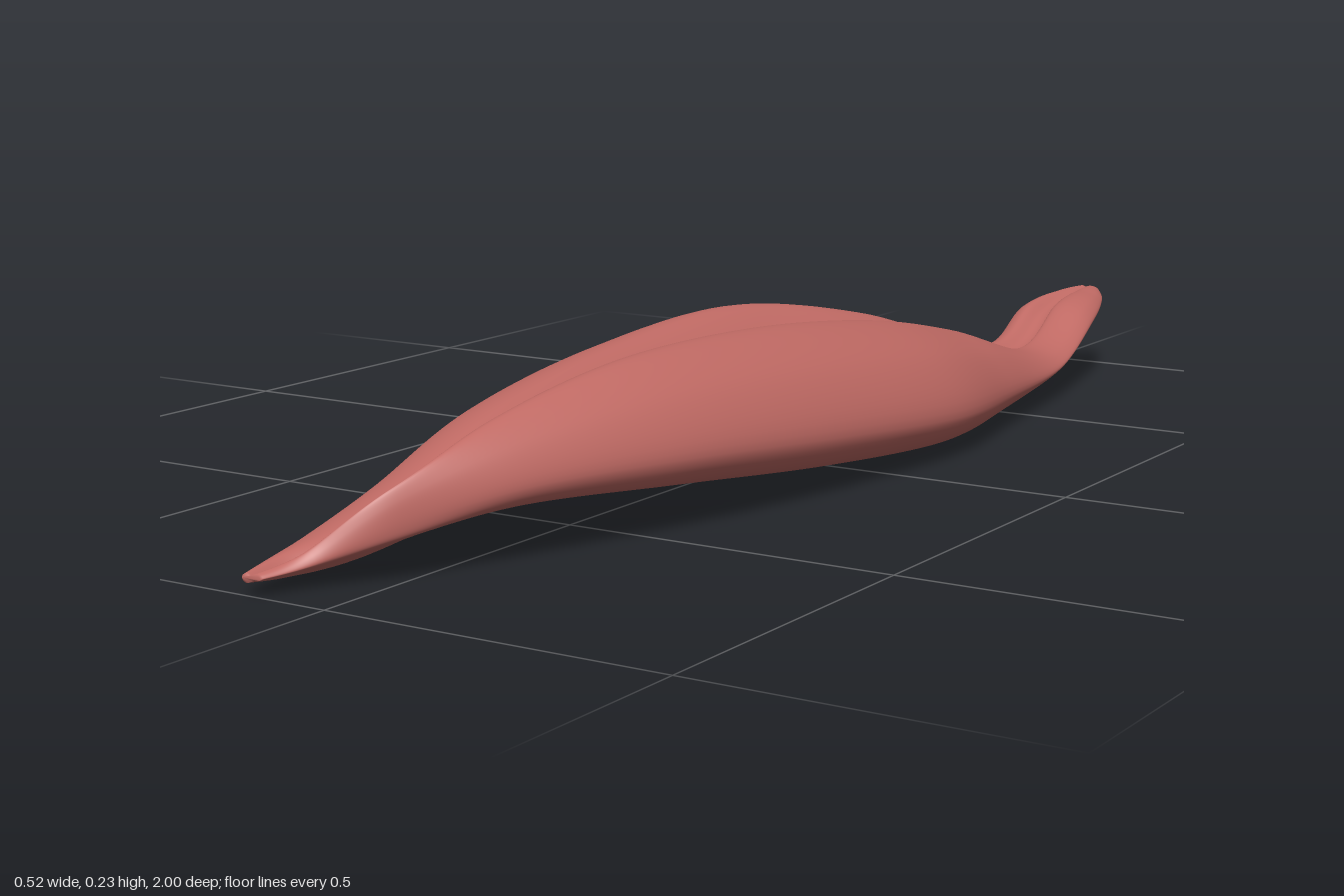
import * as THREE from 'three';

// Guide curves, each sampled at the same stations from front tip to back tail
const GUIDES = {
  z: [1, 0.94, 0.86, 0.7, 0.45, 0.15, -0.15, -0.4, -0.66, -0.85, -0.95, -1],
  left: [-0.13, -0.146, -0.157, -0.178, -0.23, -0.26, -0.24, -0.13, 0.008, 0.003, 0.025, 0.05],
  right: [-0.1, -0.065, 0.005, 0.09, 0.175, 0.232, 0.257, 0.22, 0.18, 0.148, 0.118, 0.088],
  crease: [0.6, 0.76, 0.88, 0.66, 0.59, 0.58, 0.575, 0.56, 0.5, 0.5, 0.5, 0.5], // fraction of the width
  base: [0.018, 0.011, 0.015, 0.036, 0.063, 0.054, 0.014, 0.003, 0.03, 0.075, 0.108, 0.128],
  ridge: [0.03, 0.038, 0.055, 0.09, 0.145, 0.183, 0.202, 0.162, 0.08, 0.125, 0.137, 0.14],
  channel: [0.028, 0.026, 0.036, 0.063, 0.103, 0.125, 0.14, 0.13, 0.068, 0.112, 0.132, 0.138],
  crown: [0.03, 0.05, 0.122, 0.183, 0.226, 0.228, 0.198, 0.148, 0.08, 0.131, 0.14, 0.14],
  edge: [0.025, 0.036, 0.075, 0.105, 0.105, 0.086, 0.065, 0.055, 0.055, 0.104, 0.124, 0.134],
};
const RINGS = 120, AROUND = 96;
const mix = THREE.MathUtils.lerp;

// Cross-section: rounded left side and ridge, open channel, sharp-edged right lobe, hollow underside
function sectionCurve(g) {
  const lobe = t => mix(g.crease, 1, t);
  const leftY = t => mix(g.base, g.ridge, t);
  const creaseY = mix(g.channel, g.crown, 0.78);
  const lowRight = g.edge - 0.32 * (g.crown - g.edge);
  const hollow = mix(g.base, lowRight, 0.5) + 0.13 * (g.crown - g.base);
  const corners = [
    [0, leftY(0.52)],
    [0.09 * g.crease, leftY(0.82)],
    [0.35 * g.crease, g.ridge],
    [0.7 * g.crease, g.channel],
    [0.94 * g.crease, mix(g.channel, creaseY, 0.2)],
    [g.crease, creaseY],
    [lobe(0.28), g.crown],
    [lobe(0.77), mix(g.edge, g.crown, 0.64)],
    [1, g.edge],
    [lobe(0.83), lowRight],
    [lobe(0.15), hollow],
    [0.4 * g.crease, g.base],
    [0.1 * g.crease, leftY(0.22)],
  ];
  return new THREE.CatmullRomCurve3(
    corners.map(([u, y]) => new THREE.Vector3(mix(g.left, g.right, u), y, g.z)),
    true, 'centripetal');
}

function buildBody() {
  const splines = Object.entries(GUIDES).map(([name, values]) => [
    name, new THREE.SplineCurve(values.map(v => new THREE.Vector2(v, 0)))]);
  const positions = [], index = [];

  // Sweep the section from tip to tail
  for (let i = 0; i <= RINGS; i++) {
    const g = {};
    for (const [name, spline] of splines) g[name] = spline.getPoint(i / RINGS).x;
    const section = sectionCurve(g);
    for (let j = 0; j < AROUND; j++) {
      positions.push(...section.getPoint(j / AROUND).toArray());
    }
  }
  for (let i = 0; i < RINGS; i++) {
    for (let j = 0; j < AROUND; j++) {
      const a = i * AROUND + j, b = i * AROUND + (j + 1) % AROUND;
      index.push(a, b, a + AROUND, b, b + AROUND, a + AROUND);
    }
  }

  // Close both small ends with fans
  const last = RINGS * AROUND;
  for (let j = 1; j < AROUND - 1; j++) {
    index.push(0, j + 1, j);
    index.push(last, last + j, last + j + 1);
  }

  const geometry = new THREE.BufferGeometry();
  geometry.setAttribute('position', new THREE.Float32BufferAttribute(positions, 3));
  geometry.setIndex(index);
  geometry.computeVertexNormals();
  return geometry;
}

export function createModel() {
  const group = new THREE.Group();
  group.name = 'muscle';
  const flesh = new THREE.MeshStandardMaterial({ color: 0xc06a64 });
  flesh.name = 'muscle red';
  const body = new THREE.Mesh(buildBody(), flesh);
  body.name = 'muscleBody';
  group.add(body);
  return group;
}
